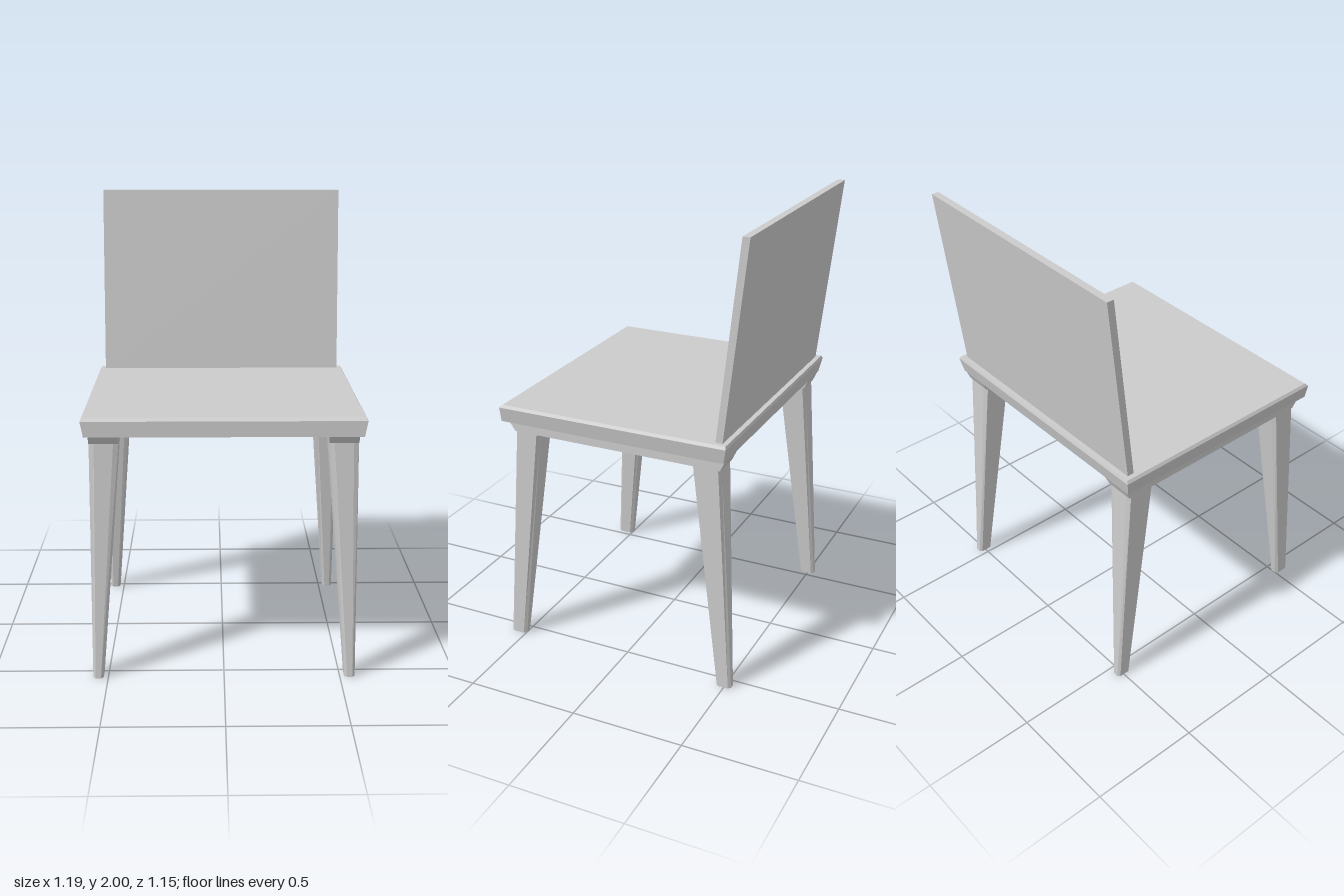
import * as THREE from 'three';

const material = new THREE.MeshStandardMaterial({ color: 0xcccccc, flatShading: true });

// Rectangular cross-section at height y, optionally with chamfered corners (cx by cz)
function section(y, xa, xb, z0, z1, cx = 0, cz = 0) {
  const x0 = Math.min(xa, xb), x1 = Math.max(xa, xb);
  const pts = cx === 0
    ? [[x0, z1], [x1, z1], [x1, z0], [x0, z0]]
    : [[x0 + cx, z1], [x1 - cx, z1], [x1, z1 - cz], [x1, z0 + cz],
       [x1 - cx, z0], [x0 + cx, z0], [x0, z0 + cz], [x0, z1 - cz]];
  return pts.map(([x, z]) => [x, y, z]);
}

// Closed solid through sections listed from bottom to top
function loft(name, sections) {
  const pos = [];
  const tri = (a, b, c) => pos.push(...a, ...b, ...c);
  const n = sections[0].length;
  for (let s = 0; s < sections.length - 1; s++) {
    const lo = sections[s], hi = sections[s + 1];
    for (let i = 0; i < n; i++) {
      const j = (i + 1) % n;
      tri(lo[i], lo[j], hi[j]);
      tri(lo[i], hi[j], hi[i]);
    }
  }
  const bottom = sections[0], top = sections[sections.length - 1];
  for (let i = 1; i < n - 1; i++) {
    tri(bottom[0], bottom[i + 1], bottom[i]);
    tri(top[0], top[i], top[i + 1]);
  }
  const geometry = new THREE.BufferGeometry();
  geometry.setAttribute('position', new THREE.Float32BufferAttribute(pos, 3));
  geometry.computeVertexNormals();
  const mesh = new THREE.Mesh(geometry, material);
  mesh.name = name;
  return mesh;
}

export function createModel() {
  const chair = new THREE.Group();
  chair.name = 'chair';

  // Seat slab: flared sides and a small bevel around the top
  chair.add(loft('seat', [
    section(1.07, -0.58, 0.58, -0.487, 0.554),
    section(1.137, -0.593, 0.593, -0.502, 0.554),
    section(1.15, -0.585, 0.585, -0.498, 0.54),
  ]));

  // Thin backrest leaning backwards
  chair.add(loft('backrest', [
    section(1.14, -0.564, 0.564, -0.475, -0.444),
    section(2, -0.564, 0.564, -0.574, -0.542),
  ]));

  for (const [side, s] of [['left', 1], ['right', -1]]) {
    // Side rail under the seat, joining front and back legs
    chair.add(loft(side + 'Rail', [
      section(1.027, s * 0.44, s * 0.565, -0.467, 0.495),
      section(1.07, s * 0.435, s * 0.565, -0.487, 0.525),
    ]));

    // Tapered, splayed legs with chamfered edges
    chair.add(loft(side + 'FrontLeg', [
      section(0, s * 0.52, s * 0.565, 0.498, 0.574, 0.011, 0.012),
      section(1.03, s * 0.44, s * 0.565, 0.382, 0.495, 0.022, 0.008),
    ]));
    chair.add(loft(side + 'BackLeg', [
      section(0, s * 0.52, s * 0.565, -0.53, -0.463, 0.011, 0.01),
      section(1.03, s * 0.44, s * 0.565, -0.467, -0.34, 0.022, 0.008),
    ]));
  }

  return chair;
}
